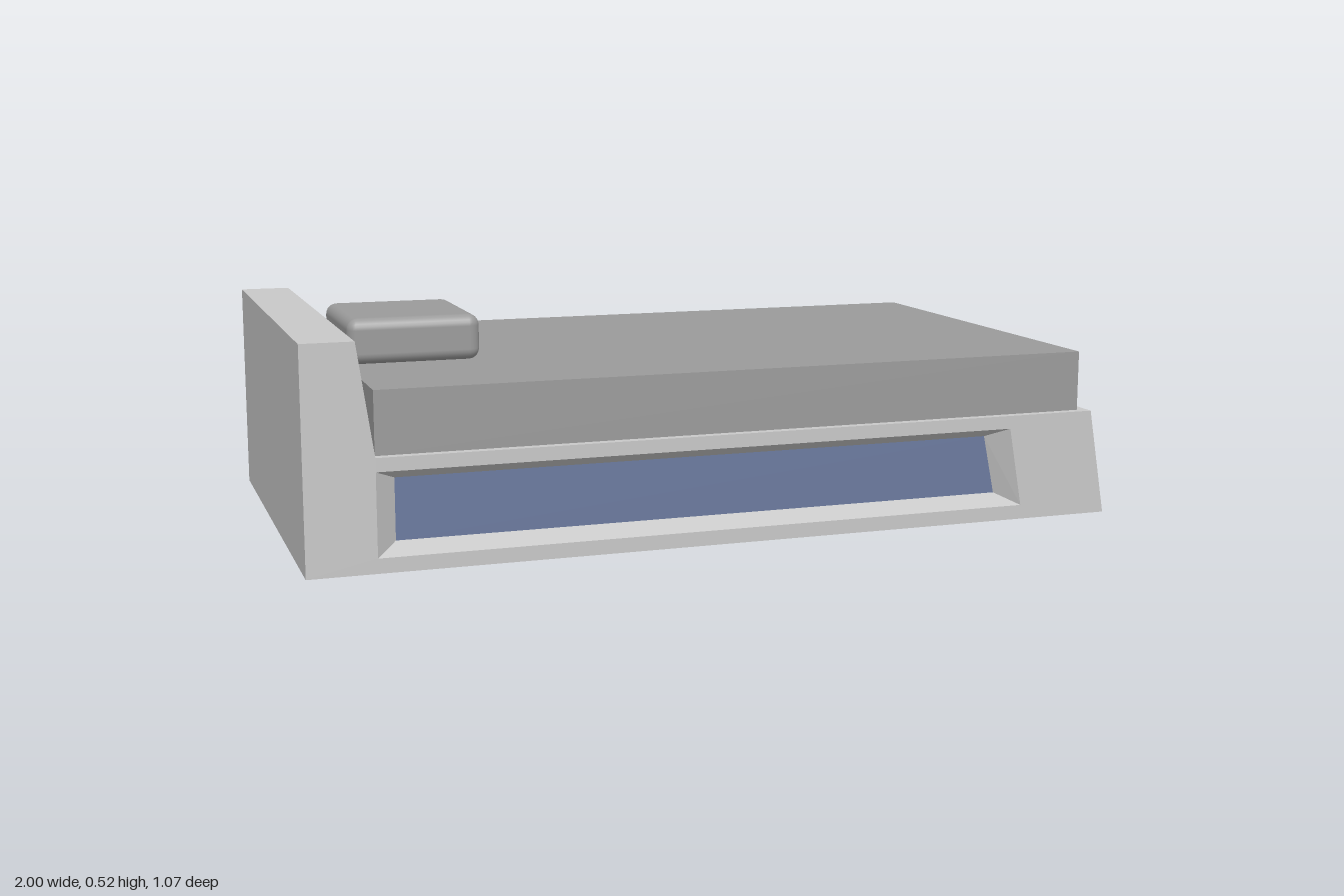
import * as THREE from 'three';
import { RoundedBoxGeometry } from 'three/addons/geometries/RoundedBoxGeometry.js';

const HALF = 0.533;   // half the width of the bed frame
const DEPTH = 0.05;   // depth of the side recesses

// Frame outline, counter-clockwise from the foot end over the headboard
const OUTLINE = [[1, 0], [0.955, 0.262], [-0.84, 0.262], [-0.878, 0.522], [-1, 0.522], [-1, 0]];
const RECESS = [[-0.84, 0.035], [0.765, 0.035], [0.73, 0.23], [-0.84, 0.23]];
const PANEL = [[-0.79, 0.06], [0.715, 0.06], [0.685, 0.205], [-0.79, 0.205]];

const toVectors = (points) => points.map(([x, y]) => new THREE.Vector2(x, y));

// Flat-shaded four-sided faces, each given as four corners
function quads(list) {
  const positions = list.flatMap(([a, b, c, d]) => [a, b, c, a, c, d].flat());
  const geometry = new THREE.BufferGeometry();
  geometry.setAttribute('position', new THREE.Float32BufferAttribute(positions, 3));
  geometry.computeVertexNormals();
  return geometry;
}

// Flat face at depth z, facing +z or -z by side
function flatFace(points, z, side, hole) {
  const shape = new THREE.Shape(toVectors(points));
  if (hole) shape.holes.push(new THREE.Path(toVectors(hole)));
  const geometry = new THREE.ShapeGeometry(shape);
  geometry.translate(0, 0, z);
  if (side < 0) {
    geometry.setIndex(Array.from(geometry.index.array).reverse());
    geometry.computeVertexNormals();
  }
  return geometry;
}

export function createModel() {
  const frameGrey = new THREE.MeshStandardMaterial({ color: 0xc8c8c8, side: THREE.DoubleSide });
  frameGrey.name = 'frameGrey';
  const beddingGrey = new THREE.MeshStandardMaterial({ color: 0x9b9b9b });
  beddingGrey.name = 'beddingGrey';
  const panelBlue = new THREE.MeshStandardMaterial({ color: 0x6b7a9f, side: THREE.DoubleSide });
  panelBlue.name = 'panelBlue';

  const bed = new THREE.Group();
  bed.name = 'bed';
  const add = (name, geometry, material) => {
    const mesh = new THREE.Mesh(geometry, material);
    mesh.name = name;
    bed.add(mesh);
    return mesh;
  };

  // Shell across the bed: foot end, deck and headboard, open underneath
  const shell = [];
  for (let i = 0; i < OUTLINE.length - 1; i++) {
    const p = OUTLINE[i], q = OUTLINE[i + 1];
    shell.push([[...p, HALF], [...p, -HALF], [...q, -HALF], [...q, HALF]]);
  }
  add('frameShell', quads(shell), frameGrey);

  // Both long sides with a bevelled recess and a coloured panel
  for (const side of [1, -1]) {
    const label = side > 0 ? 'front' : 'back';
    const outerZ = side * HALF, innerZ = side * (HALF - DEPTH);
    add(label + 'Side', flatFace(OUTLINE, outerZ, side, RECESS), frameGrey);
    const bevel = RECESS.map((p, i) => {
      const j = (i + 1) % RECESS.length;
      const face = [[...p, outerZ], [...RECESS[j], outerZ], [...PANEL[j], innerZ], [...PANEL[i], innerZ]];
      return side > 0 ? face : face.reverse();
    });
    add(label + 'RecessBevel', quads(bevel), frameGrey);
    add(label + 'Panel', flatFace(PANEL, innerZ, side), panelBlue);
  }

  // Fine trim lines along the sloping headboard
  for (const y of [0.479, 0.487]) {
    const x = -0.84 - 0.038 * (y - 0.262) / 0.26;
    const line = add('headboardTrim', new THREE.BoxGeometry(0.004, 0.002, 0.985), panelBlue);
    line.position.set(x, y, 0);
  }

  // Mattress and pillow
  add('mattress', new THREE.BoxGeometry(1.76, 0.147, 1.05), beddingGrey).position.set(0.04, 0.3385, 0);
  add('pillow', new RoundedBoxGeometry(0.32, 0.11, 0.356, 3, 0.027), beddingGrey).position.set(-0.675, 0.467, 0);

  return bed;
}
